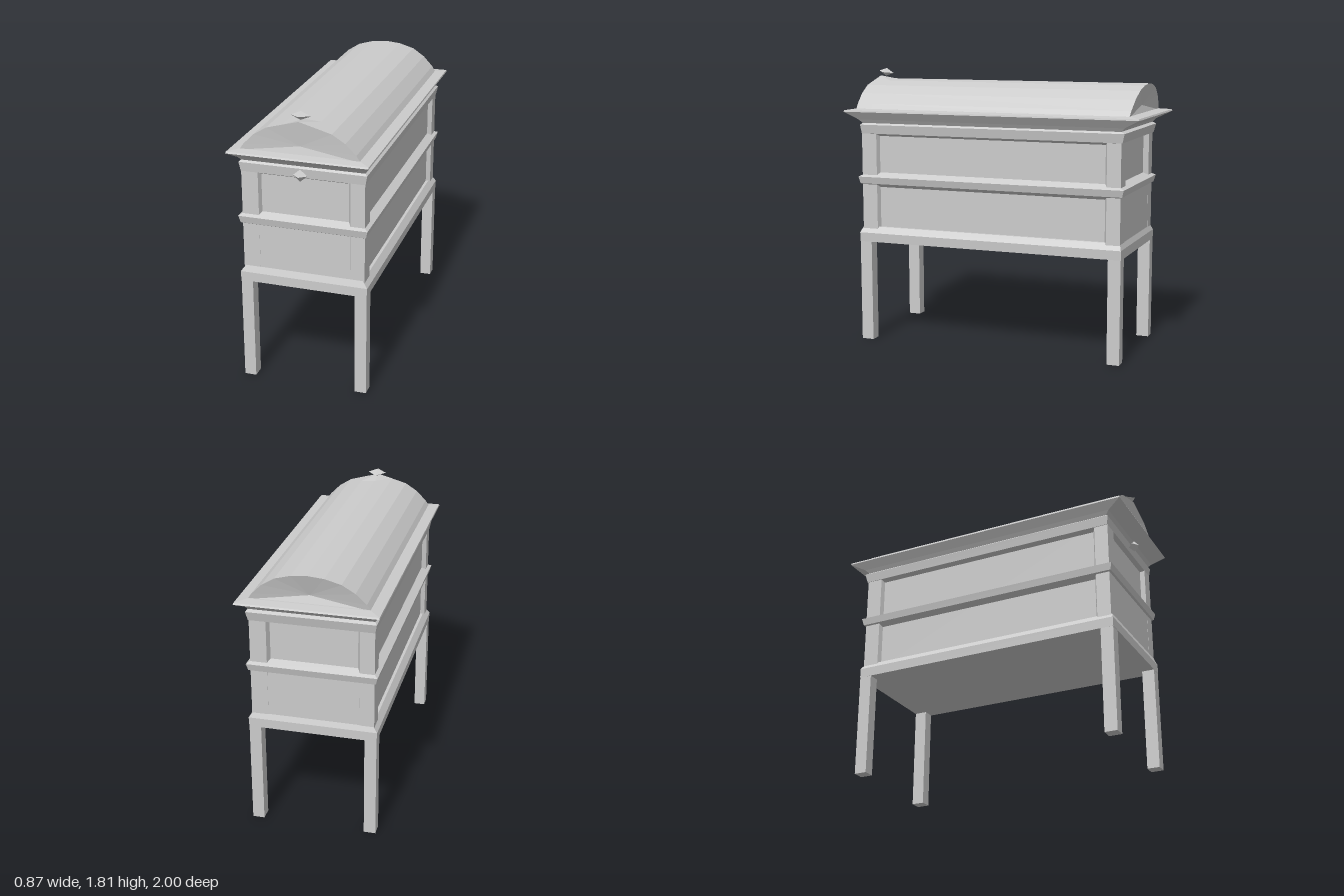
import * as THREE from 'three';

const material = new THREE.MeshStandardMaterial({ color: 0xcccccc, flatShading: true });

function add(group, name, geometry, x = 0, y = 0, z = 0) {
  const mesh = new THREE.Mesh(geometry, material);
  mesh.name = name;
  mesh.position.set(x, y, z);
  group.add(mesh);
  return mesh;
}

// Skin equal-length rings of points, with a fan to a centre point at each end
function skin(rings, startCentre, endCentre) {
  const n = rings[0].length;
  const points = [...rings.flat(), startCentre, endCentre];
  const index = [];
  for (let r = 0; r < rings.length - 1; r++) {
    for (let i = 0; i < n; i++) {
      const a = r * n + i, b = r * n + (i + 1) % n;
      index.push(a, b, b + n, a, b + n, a + n);
    }
  }
  const last = (rings.length - 1) * n, s = rings.length * n;
  for (let i = 0; i < n; i++) {
    const j = (i + 1) % n;
    index.push(s, j, i, s + 1, last + i, last + j);
  }
  const geometry = new THREE.BufferGeometry();
  geometry.setAttribute('position', new THREE.Float32BufferAttribute(points.flat(), 3));
  geometry.setIndex(index);
  const flat = geometry.toNonIndexed();
  flat.computeVertexNormals();
  return flat;
}

// Stacked rectangles, each given as [y, half width, front z, back z]
function stack(sections) {
  const rings = sections.map(([y, w, f, b]) => [[w, y, f], [w, y, b], [-w, y, b], [-w, y, f]]);
  const centre = ([y, , f, b]) => [0, y, (f + b) / 2];
  return skin(rings, centre(sections[0]), centre(sections[sections.length - 1]));
}

function box(x0, x1, y0, y1, z0, z1) {
  return new THREE.BoxGeometry(x1 - x0, y1 - y0, z1 - z0)
    .translate((x0 + x1) / 2, (y0 + y1) / 2, (z0 + z1) / 2);
}

export function createModel() {
  const group = new THREE.Group();

  // Four square legs
  for (const side of [-1, 1]) {
    for (const z of [0.868, -0.848]) {
      add(group, 'leg', new THREE.BoxGeometry(0.075, 0.72, 0.082), side * 0.365, 0.36, z);
    }
  }

  // Base rail with a sloped upper edge
  add(group, 'baseRail', stack([
    [0.67, 0.403, 0.91, -0.89],
    [0.73, 0.406, 0.91, -0.89],
    [0.77, 0.375, 0.895, -0.875],
  ]));

  // Recessed panels of the chest
  add(group, 'sidePanels', box(-0.357, 0.357, 0.7, 1.46, -0.845, 0.865));

  // Plain boards on the lower ends
  add(group, 'lowerFrontBoard', box(-0.38, 0.38, 0.75, 1.07, 0.8, 0.892));
  add(group, 'lowerBackBoard', box(-0.38, 0.38, 0.75, 1.07, -0.877, -0.8));

  // Corner posts, splayed toward the panels
  const post = new THREE.Shape([
    new THREE.Vector2(0, 0), new THREE.Vector2(0, 0.105),
    new THREE.Vector2(-0.035, 0.12), new THREE.Vector2(-0.11, 0.035), new THREE.Vector2(-0.09, 0),
  ]);
  for (const side of [-1, 1]) {
    for (const end of [-1, 1]) {
      const geometry = new THREE.ExtrudeGeometry(post, { depth: 0.7, bevelEnabled: false });
      geometry.rotateX(-Math.PI / 2); // outer corner at +x, +z
      const mesh = add(group, 'cornerPost', geometry, side * 0.385, 0.75, end > 0 ? 0.893 : -0.878);
      // Quarter turns carry the corner round, swapping the post's two faces
      mesh.rotation.y = end > 0 ? (side > 0 ? 0 : -Math.PI / 2) : (side > 0 ? Math.PI / 2 : Math.PI);
    }
  }

  // Waist moulding
  add(group, 'waistMoulding', stack([
    [1.035, 0.355, 0.86, -0.84],
    [1.06, 0.395, 0.905, -0.89],
    [1.105, 0.406, 0.915, -0.902],
    [1.135, 0.355, 0.86, -0.84],
  ]));

  // Band above the upper panels
  add(group, 'upperBand', stack([
    [1.375, 0.355, 0.86, -0.84],
    [1.392, 0.387, 0.893, -0.885],
    [1.45, 0.398, 0.9, -0.9],
    [1.465, 0.38, 0.88, -0.87],
  ]));

  // Flared cornice
  add(group, 'cornice', stack([
    [1.455, 0.38, 0.88, -0.87],
    [1.485, 0.4, 0.91, -0.9],
    [1.535, 0.436, 1, -1],
    [1.545, 0.434, 0.995, -0.995],
    [1.553, 0.37, 0.94, -0.93],
  ]));

  // Arched lid, its ends leaning out toward the top
  const half = [[0.372, 1.545], [0.345, 1.585], [0.28, 1.65], [0.2, 1.7], [0.1, 1.728]];
  const arch = [...half, [0, 1.737], ...half.map(([x, y]) => [-x, y]).reverse()];
  const lidRing = (base, lean, peak) => arch.map(([x, y]) =>
    [x, y + (x === 0 ? peak : 0), base + lean * (y - 1.545) / 0.19]);
  add(group, 'lid', skin(
    [lidRing(-0.92, -0.025, 0), lidRing(0.83, 0, 0), lidRing(0.94, 0.003, 0.018)],
    [0, 1.6, -0.9], [0, 1.6, 0.925],
  ));

  // Faceted knobs on the lid and the front band
  const lidKnob = add(group, 'lidKnob', new THREE.OctahedronGeometry(1), 0, 1.78, 0.9);
  lidKnob.scale.set(0.062, 0.026, 0.055);
  lidKnob.rotation.x = -0.15;
  const frontKnob = add(group, 'frontKnob', new THREE.OctahedronGeometry(1), 0, 1.42, 0.93);
  frontKnob.scale.set(0.045, 0.038, 0.036);

  return group;
}
